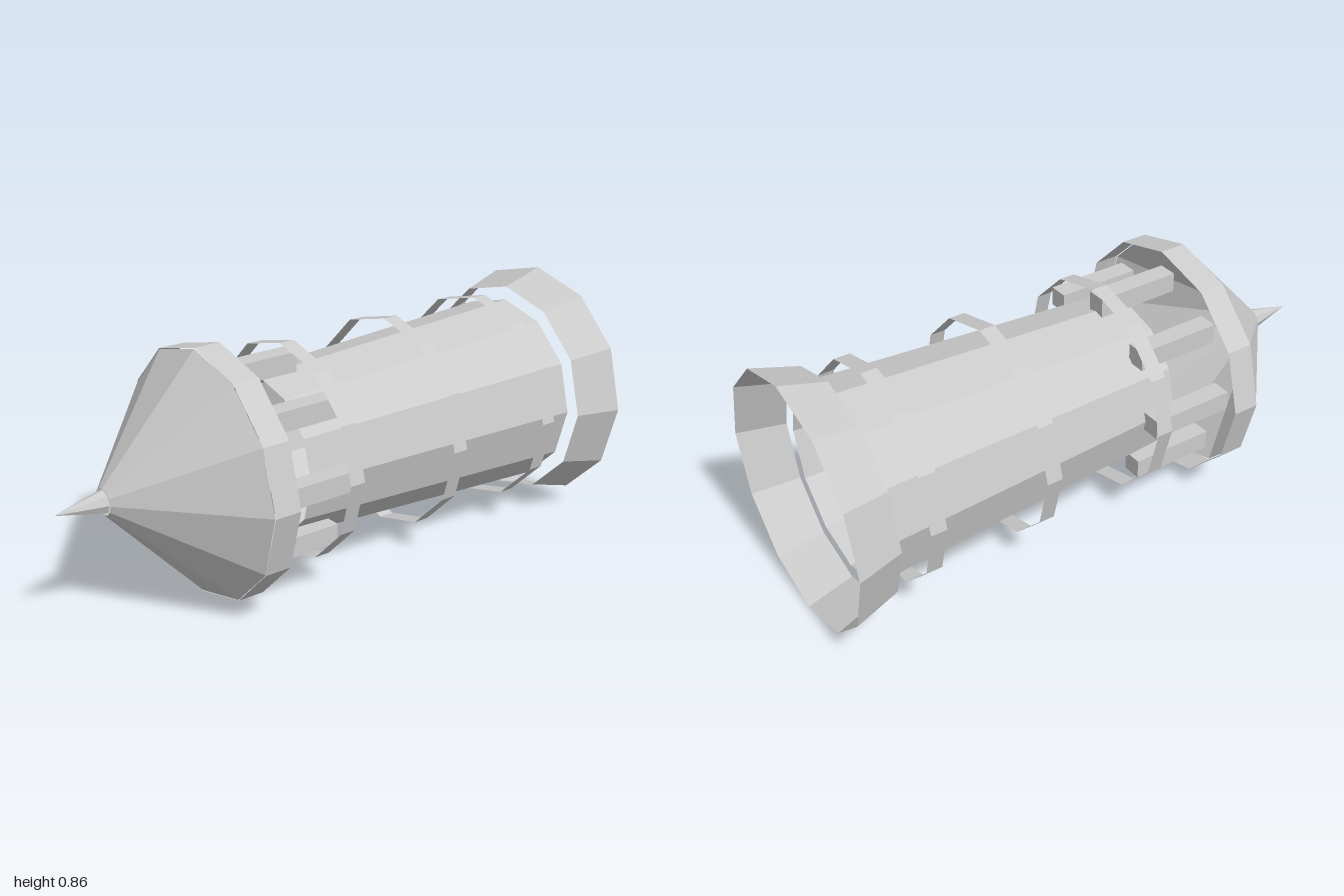
import * as THREE from 'three';

const AXIS_Y = 0.432; // height of the tower's long axis
const SIDES = 12;

const material = new THREE.MeshStandardMaterial({
  color: 0xcccccc, flatShading: true, side: THREE.DoubleSide,
});

// Open faceted shell along z, from zBack to zFront
function shell(name, zBack, rBack, zFront, rFront, sides = SIDES) {
  const geometry = new THREE.CylinderGeometry(rFront, rBack, zFront - zBack, sides, 1, true);
  geometry.rotateX(Math.PI / 2);
  const mesh = new THREE.Mesh(geometry, material);
  mesh.name = name;
  mesh.position.z = (zBack + zFront) / 2;
  return mesh;
}

export function createModel() {
  const model = new THREE.Group();
  model.name = 'tower';
  const tower = new THREE.Group();
  tower.name = 'towerBody';
  tower.position.y = AXIS_Y;
  model.add(tower);

  // Flared base and tapered shaft
  tower.add(shell('flaredBase', -1, 0.431, -0.84, 0.385));
  tower.add(shell('shaft', -0.84, 0.336, 0.255, 0.277));

  // Thin rings standing off the shaft
  for (const z of [-0.707, -0.292, 0.143]) {
    tower.add(shell('ring', z - 0.028, 0.372, z + 0.028, 0.372));
  }

  // Eight posts carrying the roof
  const postGeometry = new THREE.BoxGeometry(0.068, 0.068, 0.3);
  for (let i = 0; i < 8; i++) {
    const angle = (i * Math.PI) / 4;
    const post = new THREE.Mesh(postGeometry, material);
    post.name = 'post';
    post.position.set(0.31 * Math.cos(angle), 0.31 * Math.sin(angle), 0.28);
    tower.add(post);
  }

  // Roof: collar, cone and separate spike
  tower.add(shell('roofCollar', 0.4, 0.421, 0.493, 0.421));
  tower.add(shell('roofCone', 0.493, 0.418, 0.835, 0.045));
  tower.add(shell('spike', 0.835, 0.039, 1, 0, 8));

  return model;
}
